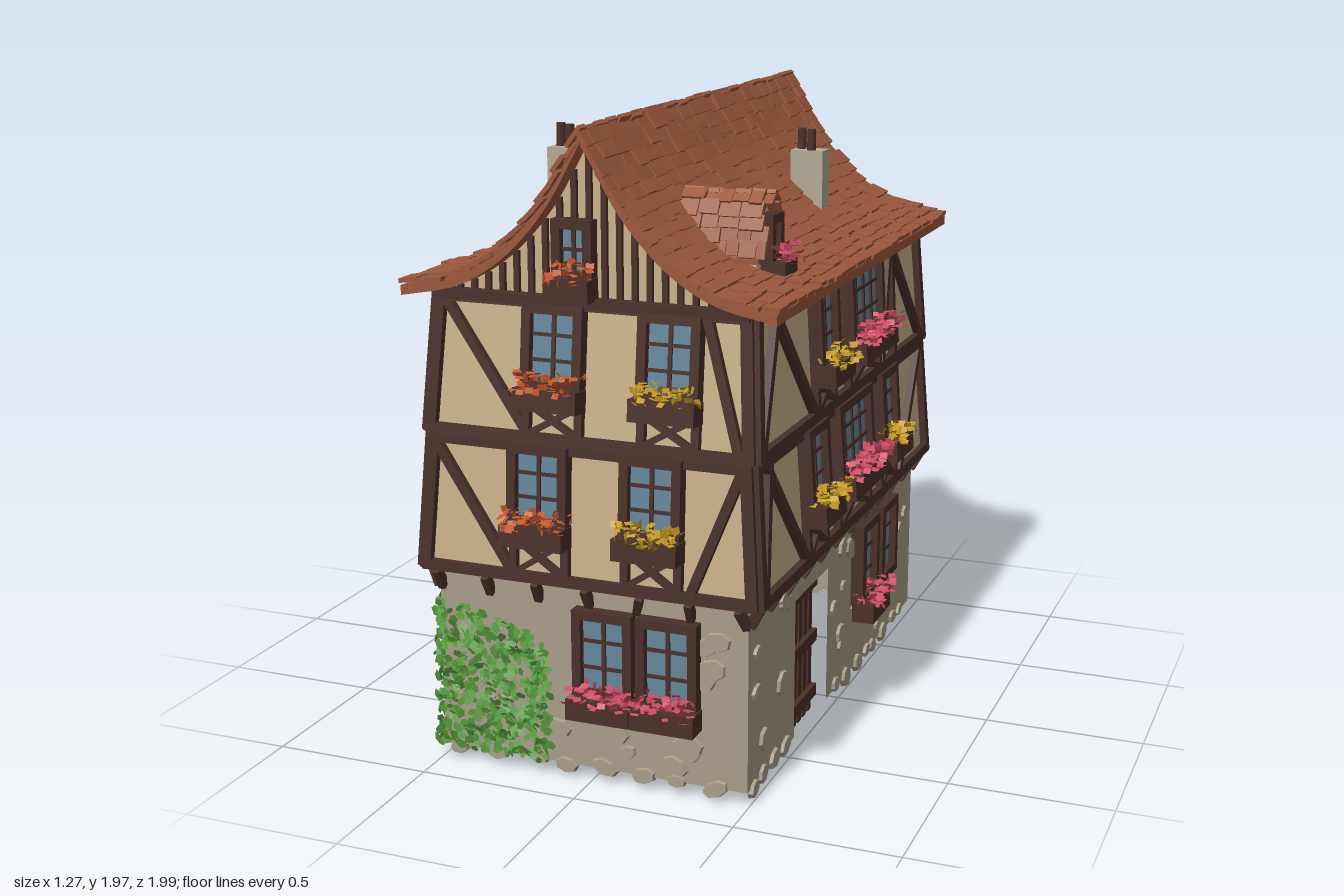
import * as THREE from 'three';
import { mergeGeometries } from 'three/addons/utils/BufferGeometryUtils.js';

const mat = (name, color, side = THREE.FrontSide) => Object.assign(new THREE.MeshStandardMaterial({ color, side }), { name });
const M = {
  stone: mat('stone', 0xa99d89, THREE.DoubleSide), plaster: mat('plaster', 0xcab18a, THREE.DoubleSide),
  timber: mat('dark timber', 0x4a302a), roof: mat('roof tile', 0x9c583d), glass: mat('window glass', 0x64879a),
  pink: mat('pink flowers', 0xcf4c66, THREE.DoubleSide), yellow: mat('yellow flowers', 0xc79c22, THREE.DoubleSide),
  orange: mat('orange flowers', 0xc8592c, THREE.DoubleSide), ivy: mat('ivy green', 0x57983c, THREE.DoubleSide),
  chimney: mat('chimney render', 0xb3a995),
};
let seed = 7;
const rnd = (a = 0, b = 1) => { seed = (seed * 16807) % 2147483647; return a + (b - a) * seed / 2147483647; };

function add(parent, name, geo, material, x = 0, y = 0, z = 0) {
  const m = new THREE.Mesh(geo, material);
  m.name = name;
  m.position.set(x, y, z);
  parent.add(m);
  return m;
}
const box = (w, h, d) => new THREE.BoxGeometry(w, h, d);
const poly = (pts) => new THREE.Shape(pts.map(([x, y]) => new THREE.Vector2(x, y)));

// Local frame of one side: 0 front, 1 right (+x), 2 back, 3 left (-x); u runs to the right as seen from outside
function sideGroup(house, name, k, y, d, tilt = 0) {
  const turn = new THREE.Group(), g = new THREE.Group();
  turn.name = name + ['Front', 'Right', 'Back', 'Left'][k];
  turn.rotation.y = k * Math.PI / 2;
  g.position.set(0, y, d);
  g.rotation.x = -tilt;
  turn.add(g);
  house.add(turn);
  return g;
}

// Straight timber between two points on a wall
function beam(g, u1, v1, u2, v2, w = 0.028, name = 'timberBeam') {
  const m = add(g, name, box(Math.hypot(u2 - u1, v2 - v1), w, 0.035), M.timber, (u1 + u2) / 2, (v1 + v2) / 2, 0.006);
  m.rotation.z = Math.atan2(v2 - v1, u2 - u1);
}

// Trough full of small tumbled petals
function flowerBox(g, u, v, w, material) {
  add(g, 'flowerBox', box(w + 0.01, 0.065, 0.075), M.timber, u, v - 0.033, 0.045);
  const petals = [];
  for (let i = 0; i < w * 520; i++) {
    petals.push(new THREE.PlaneGeometry(0.024, 0.018).rotateX(rnd(-2, 2)).rotateY(rnd(-2, 2))
      .translate(u + rnd(-0.52, 0.52) * w, v + rnd(-0.012, 0.045), rnd(0.015, 0.105)));
  }
  add(g, 'flowers', mergeGeometries(petals), material);
}

// Framed window with panes between heights v0 and v1
function windowAt(g, u, v0, v1, w, cols, rows, flowers) {
  const h = v1 - v0, v = (v0 + v1) / 2, f = 0.028;
  add(g, 'windowGlass', box(w - f, h - f, 0.012), M.glass, u, v, 0.012);
  for (const s of [-1, 1]) {
    add(g, 'windowJamb', box(f, h, 0.055), M.timber, u + s * (w - f) / 2, v, 0.015);
    add(g, 'windowRail', box(w, f, 0.055), M.timber, u, v + s * (h - f) / 2, 0.015);
  }
  for (let i = 1; i < cols; i++) add(g, 'windowBar', box(0.012, h - f, 0.026), M.timber, u + (i / cols - 0.5) * (w - f), v, 0.012);
  for (let i = 1; i < rows; i++) add(g, 'windowBar', box(w - f, 0.01, 0.026), M.timber, u, v + (i / rows - 0.5) * (h - f), 0.012);
  if (flowers) flowerBox(g, u, v0 + 0.01, w, M[flowers]);
}

// One side of a storey: tapered wall and its windows, each [u, columns, flowers]
function wallSide(house, name, k, { y0, y1, x, z, sill, head }, windows, material, notch = []) {
  const [d0, d1] = k % 2 ? x : z, [w0, w1] = k % 2 ? z : x, H = Math.hypot(y1 - y0, d0 - d1);
  const g = sideGroup(house, name, k, y0, d0, Math.atan2(d0 - d1, y1 - y0));
  add(g, 'wall', new THREE.ShapeGeometry(poly([[-w0, 0], ...notch, [w0, 0], [w1, H], [-w1, H]])), material);
  for (const [u, cols, flowers] of windows) windowAt(g, u, sill - y0, head - y0, 0.03 + 0.08 * cols, cols, 3, flowers);
  return { g, w0, w1, H };
}

// Half-timbered side; braces are [foot u, head u]
function timberSide(house, name, k, storey, windows, braces) {
  const { g, w0, w1, H } = wallSide(house, name, k, storey, windows, M.plaster), h = storey.sill - storey.y0;
  for (const s of [-1, 1]) {
    beam(g, s * (w0 - 0.01), 0, s * (w1 - 0.01), H, 0.035, 'cornerPost');
    for (const [u, cols] of windows) { // posts and cross under the window
      const e = s * (0.003 + 0.04 * cols);
      beam(g, u + e, 0, u + e, h, 0.024);
      beam(g, u - e, 0.02, u + e, h - 0.04, 0.018);
    }
  }
  beam(g, -w0, 0.012, w0, 0.012, 0.032, 'sillBeam');
  beam(g, -w1, H - 0.015, w1, H - 0.015, 0.032, 'topBeam');
  for (const [foot, top] of braces) beam(g, foot, 0.02, top, H - 0.02);
}

// Stone side with raised stones, ragged foot and jetty brackets
function stoneSide(house, k, storey, windows) {
  const door = k === 1, notch = door ? [[-0.445, 0], [-0.445, 0.45], [-0.12, 0.45], [-0.12, 0]] : [];
  const { g, w0 } = wallSide(house, 'groundFloor', k, storey, windows, M.stone, notch), stones = [];
  const stone = (u, v, r) => {
    if (door && u > -0.47 - r && u < -0.1 + r && v < 0.5) return;
    stones.push(new THREE.CylinderGeometry(r * 0.85, r, 0.016, 7).rotateX(Math.PI / 2).scale(1, rnd(0.55, 0.85), 1)
      .rotateZ(rnd(-0.6, 0.6)).translate(u, v, 0.002).toNonIndexed());
  };
  for (let i = 0; i < w0 * 50; i++) stone(rnd(-w0 + 0.06, w0 - 0.06), rnd(0.05, 0.5), rnd(0.025, 0.055));
  for (let u = -w0 + 0.05; u < w0 - 0.04; u += rnd(0.07, 0.14)) stone(u, rnd(-0.005, 0.02), rnd(0.03, 0.05));
  const merged = mergeGeometries(stones);
  merged.computeVertexNormals();
  add(g, 'wallStones', merged, M.stone);
  const n = Math.round(w0 * 13);
  for (let i = 0; i <= n; i++) {
    add(g, 'jettyBracket', box(0.022, 0.07, 0.03), M.timber, (i / n * 2 - 1) * (w0 - 0.01), 0.545, 0.018).rotation.set(0.5, 0, rnd(-0.3, 0.3));
  }
  if (!door) return;
  // Plank door set back in its opening
  for (let i = 0; i < 7; i++) {
    const h = rnd(0.46, 0.49);
    add(g, 'doorPlank', box(0.033, h, 0.016), M.timber, -0.43 + i * 0.049, h / 2 - 0.04, -0.06);
  }
  for (const v of [0.41, 0.22, 0.03]) add(g, 'doorRail', box(0.33, 0.04, 0.02), M.timber, -0.2825, v, -0.045);
}

// Tiled roof from one half profile, mirrored, running from z0 to z1; returns the underside height at x
function roof(parent, name, pts, z0, z1, rows, tileW, thick) {
  const curve = new THREE.CatmullRomCurve3(pts.map(([x, y]) => new THREE.Vector3(x, y, 0)));
  const line = curve.getSpacedPoints(24), right = line.map(p => [p.x, p.y]);
  const top = [...right.slice(1).reverse().map(([x, y]) => [-x, y]), ...right];
  const under = top.map(([x, y]) => [x, y - thick]).reverse();
  const shell = new THREE.ExtrudeGeometry(poly([...top, ...under]), { depth: z1 - z0 - 0.05, bevelEnabled: false });
  add(parent, name + 'Shell', shell, M.roof, 0, 0, z0 + 0.025);
  const tiles = [], step = curve.getLength() / rows;
  for (const s of [-1, 1]) for (let i = 0; i < rows; i++) {
    const p = curve.getPointAt((i + 0.5) / rows), t = curve.getTangentAt((i + 0.5) / rows), a = Math.atan2(t.y, t.x);
    for (let z = z0 + rnd(0, 0.03); z < z1 - tileW * 0.4;) {
      const w = Math.min(rnd(0.65, 1.3) * tileW, z1 - z);
      const tile = box(step * rnd(1.15, 1.5), 0.013, w - 0.003).rotateZ(s * (a + rnd(0.05, 0.15)));
      tiles.push(tile.translate(s * (p.x + rnd(-0.006, 0.006)), p.y + rnd(0.004, 0.012), z + w / 2));
      z += w;
    }
  }
  add(parent, name + 'Tiles', mergeGeometries(tiles), M.roof);
  return x => {
    const k = Math.max(1, line.findIndex(p => p.x >= Math.abs(x))), a = line[k - 1], b = line[k];
    return a.y + (b.y - a.y) * (Math.abs(x) - a.x) / (b.x - a.x) - thick;
  };
}

function chimney(parent, x, z, y0, y1) {
  const g = new THREE.Group();
  g.name = 'chimney';
  add(g, 'chimneyStack', box(0.11, y1 - y0, 0.075), M.chimney, x, (y0 + y1) / 2, z);
  for (const s of [-1, 1]) add(g, 'chimneyPot', new THREE.CylinderGeometry(0.014, 0.016, 0.075, 8), M.timber, x - 0.012 + s * 0.021, y1 + 0.03, z + s * 0.014);
  parent.add(g);
}

// Ivy spreading from a corner, thinning in height as it goes
function ivyPatch(g, from, dir, width) {
  const leaves = [];
  for (let i = 0; i < 480; i++) {
    const a = rnd(), v = rnd(0, 0.47 - 0.1 * a * a);
    leaves.push(new THREE.CircleGeometry(rnd(0.011, 0.019), 5).scale(1.2, 0.8, 1).rotateZ(rnd(0, 6)).rotateX(rnd(-0.6, 0.6))
      .rotateY(rnd(-0.6, 0.6)).translate(from + dir * (a * width + rnd(-0.01, 0.01)), v, rnd(0.012, 0.028)));
  }
  add(g, 'ivyLeaves', mergeGeometries(leaves), M.ivy);
}

export function createModel() {
  const house = new THREE.Group();
  house.name = 'timberFramedHouse';

  // Ground floor
  const ground = { y0: 0.05, y1: 0.62, x: [0.495, 0.495], z: [0.865, 0.865], sill: 0.285, head: 0.56 };
  stoneSide(house, 0, ground, [[0.052, 2, 'pink'], [0.255, 2, 'pink']]);
  stoneSide(house, 1, ground, [[0.23, 2, 'pink'], [0.457, 2]]);
  stoneSide(house, 2, ground, []);
  stoneSide(house, 3, ground, [[0, 2, 'pink'], [0.24, 2, 'pink']]);

  // Middle floor
  const middle = { y0: 0.63, y1: 1.05, x: [0.53, 0.5], z: [0.89, 0.865], sill: 0.8, head: 1.045 };
  const middleSide = (...a) => timberSide(house, 'middleFloor', a[0], middle, a[1], a[2]);
  middleSide(0, [[-0.145, 2, 'orange'], [0.21, 2, 'yellow']], [[-0.23, -0.49], [0.33, 0.48]]);
  middleSide(1, [[-0.38, 2, 'yellow'], [0, 4, 'pink'], [0.385, 2, 'yellow']], [[-0.86, -0.76], [-0.48, -0.79], [0.52, 0.84]]);
  middleSide(2, [[0.03, 4, 'orange']], [[-0.49, -0.18], [-0.17, -0.48], [0.5, 0.24]]);
  middleSide(3, [[-0.33, 3], [0.1, 4, 'pink'], [0.53, 2, 'pink']], [[-0.86, -0.52], [-0.54, -0.83], [0.65, 0.83]]);

  // Upper floor
  const upper = { y0: 1.05, y1: 1.47, x: [0.51, 0.485], z: [0.87, 0.825], sill: 1.205, head: 1.455 };
  const upperSide = (...a) => timberSide(house, 'upperFloor', a[0], upper, a[1], a[2]);
  upperSide(0, [[-0.105, 2, 'orange'], [0.255, 2, 'yellow']], [[-0.18, -0.46], [0.47, 0.36]]);
  upperSide(1, [[-0.258, 2, 'yellow'], [0.145, 4, 'pink']], [[-0.84, -0.66], [-0.36, -0.68], [0.49, 0.49], [0.34, 0.48], [0.82, 0.49]]);
  upperSide(2, [[0.33, 2, 'yellow']], [[-0.48, -0.2], [-0.2, -0.2], [0.2, -0.18], [0.2, 0.2], [-0.22, -0.46], [-0.18, 0.18]]);
  upperSide(3, [[-0.33, 4], [0.04, 4, 'pink'], [0.4, 3, 'pink']], [[-0.83, -0.55], [0.58, 0.78]]);

  // Soffit under the overhanging floor
  const rect = (x, z) => poly([[-x, -z], [x, -z], [x, z], [-x, z]]);
  const ring = rect(0.53, 0.89);
  ring.holes.push(rect(0.49, 0.86));
  add(house, 'jettySoffit', new THREE.ShapeGeometry(ring).rotateX(Math.PI / 2), M.plaster, 0, 0.625, 0);

  // Main roof and gables
  const profile = [[0, 1.955], [0.05, 1.865], [0.1, 1.78], [0.18, 1.68], [0.28, 1.59], [0.4, 1.525], [0.58, 1.485]];
  const under = roof(house, 'mainRoof', profile, -0.935, 0.915, 17, 0.075, 0.03);
  for (const k of [0, 2]) {
    const g = sideGroup(house, 'gable', k, 0, 0.825), pts = [[-0.46, 1.45], [0.46, 1.45]];
    for (let i = 10; i >= -10; i--) pts.push([i * 0.046, under(i * 0.046) + 0.01]);
    add(g, 'gableWall', new THREE.ShapeGeometry(poly(pts)), M.plaster);
    for (let i = -9; i <= 9; i++) {
      const x = i * 0.046, h = under(x) - 1.45;
      add(g, 'gableBatten', box(0.017, h, 0.02), M.timber, x, 1.45 + h / 2, 0.004);
    }
    add(g, 'gableBeam', box(0.98, 0.03, 0.05), M.timber, 0, 1.465, 0.01);
    if (k === 0) windowAt(g, -0.043, 1.53, 1.705, 0.125, 2, 2, 'orange');
    else windowAt(g, 0, 1.55, 1.7, 0.28, 3, 2);
  }

  // Dormer on the right slope
  const dormer = new THREE.Group(), dormerFront = new THREE.Group();
  dormer.name = 'dormer';
  dormer.rotation.y = Math.PI / 2;
  dormer.position.z = 0.485;
  house.add(dormer);
  roof(dormer, 'dormerRoof', [[0, 1.745], [0.03, 1.715], [0.06, 1.655], [0.085, 1.57]], 0.14, 0.435, 5, 0.06, 0.015);
  const face = poly([[-0.07, 1.5], [0.07, 1.5], [0.07, 1.6], [0.045, 1.675], [0, 1.735], [-0.045, 1.675], [-0.07, 1.6]]);
  add(dormer, 'dormerWall', new THREE.ExtrudeGeometry(face, { depth: 0.25, bevelEnabled: false }), M.plaster, 0, 0, 0.15);
  dormerFront.name = 'dormerFront';
  dormerFront.position.z = 0.4;
  dormer.add(dormerFront);
  windowAt(dormerFront, 0, 1.55, 1.695, 0.1, 2, 2, 'pink');

  chimney(house, -0.195, 0.54, 1.58, 1.865);
  chimney(house, 0.26, -0.355, 1.55, 1.77);

  // Ivy around the front corner of the left side
  ivyPatch(sideGroup(house, 'ivy', 0, 0.05, 0.865), -0.5, 1, 0.37);
  ivyPatch(sideGroup(house, 'ivy', 3, 0.05, 0.495), 0.865, -1, 0.45);
  return house;
}
